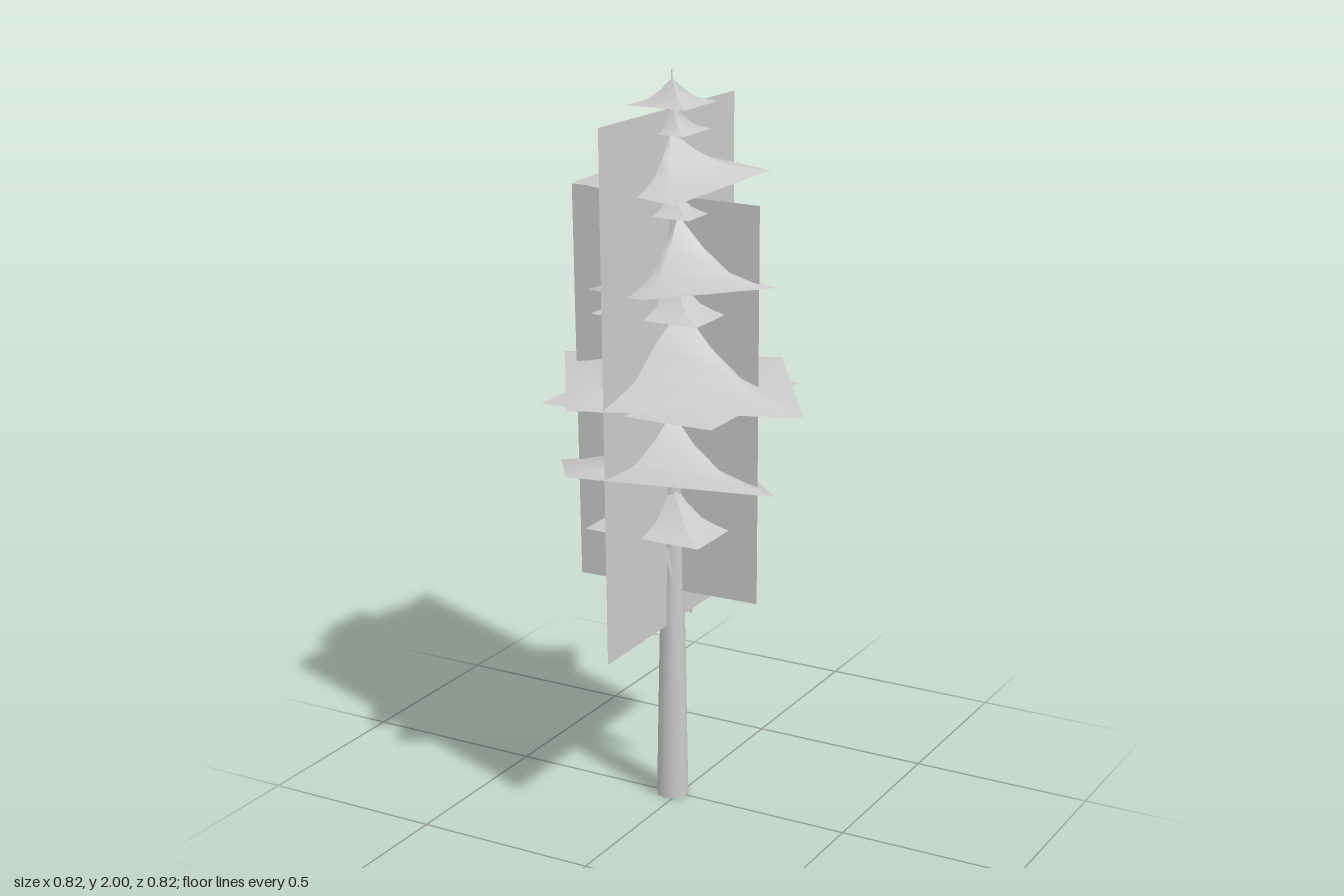
import * as THREE from 'three';

const material = new THREE.MeshStandardMaterial({ color: 0xcccccc, side: THREE.DoubleSide });
const TRUNK_X = -0.02;

// Concave four-sided canopy; (cornerX, cornerZ) is one corner measured from the centre.
function canopy({ x = TRUNK_X, z = 0, base, top, corner, tilt = [0, 0] }) {
  const [cornerX, cornerZ] = corner;
  const radius = Math.hypot(cornerX, cornerZ);
  const height = top - base;
  const profile = [[1, 0], [0.78, 0.08], [0.52, 0.21], [0.25, 0.55], [0, 1]]
    .map(([r, h]) => new THREE.Vector2(r * radius, h * height));
  const geometry = new THREE.LatheGeometry(profile, 4, Math.atan2(cornerX, cornerZ));
  const p = geometry.attributes.position;
  // Lean the layer: the skirt follows the slope, the peak moves away from the high side
  for (let i = 0; i < p.count; i++) {
    const px = p.getX(i), py = p.getY(i), pz = p.getZ(i);
    p.setXYZ(i, px - tilt[0] * py, py + tilt[0] * px + tilt[1] * pz, pz - tilt[1] * py);
  }
  geometry.computeVertexNormals();
  const mesh = new THREE.Mesh(geometry, material);
  mesh.position.set(x, base, z);
  return mesh;
}

// Flat four-cornered card
function card(name, corners) {
  const geometry = new THREE.BufferGeometry();
  geometry.setAttribute('position', new THREE.Float32BufferAttribute(corners.flat(), 3));
  geometry.setIndex([0, 1, 2, 0, 2, 3]);
  geometry.computeVertexNormals();
  const mesh = new THREE.Mesh(geometry, material);
  mesh.name = name;
  return mesh;
}

export function createModel() {
  const tree = new THREE.Group();
  tree.name = 'conifer';

  // Trunk: open tube tapering to a needle tip
  const trunkProfile = [[0.044, 0], [0.037, 0.4], [0.029, 0.75], [0.024, 1.05], [0.013, 1.6], [0.001, 2]]
    .map(([r, y]) => new THREE.Vector2(r, y));
  const trunk = new THREE.Mesh(new THREE.LatheGeometry(trunkProfile, 10), material);
  trunk.name = 'trunk';
  trunk.position.x = TRUNK_X;
  tree.add(trunk);

  // Small level canopies: base height, peak height, half width
  const small = [
    [0.795, 0.905, 0.17], [1.115, 1.165, 0.115], [1.15, 1.235, 0.25], [1.38, 1.49, 0.155],
    [1.64, 1.71, 0.105], [1.845, 1.925, 0.072], [1.915, 1.98, 0.085],
  ];
  small.forEach(([base, top, half], i) => {
    const layer = canopy({ base, top, corner: [half, half] });
    layer.name = `smallCanopy${i + 1}`;
    tree.add(layer);
  });

  // Large turned and tilted canopies
  const large = [
    { x: -0.022, z: 0.043, base: 0.928, top: 1.1, corner: [0.367, 0.077], tilt: [0.021, 0.257] },
    { x: 0, z: 0, base: 1.18, top: 1.385, corner: [0.41, 0.097], tilt: [-0.032, 0.029] },
    { x: 0.017, z: 0.018, base: 1.44, top: 1.63, corner: [0.263, -0.033], tilt: [0.11, 0.1] },
    { x: -0.026, z: -0.01, base: 1.725, top: 1.845, corner: [0.22, -0.127], tilt: [0, -0.115] },
  ];
  large.forEach((spec, i) => {
    const layer = canopy(spec);
    layer.name = `largeCanopy${i + 1}`;
    tree.add(layer);
  });

  // Crossed upright foliage cards
  tree.add(card('wideFoliageCard', [
    [-0.305, 0.597, 0], [0.235, 0.603, 0], [0.233, 1.675, 0], [-0.322, 1.68, 0],
  ]));
  tree.add(card('deepFoliageCard', [
    [TRUNK_X, 0.502, 0.343], [TRUNK_X, 0.508, -0.343], [TRUNK_X, 1.9, -0.338], [TRUNK_X, 1.907, 0.367],
  ]));

  // Small twig cards on the lower trunk
  tree.add(card('leftTwig', [
    [-0.02, 0.73, 0.02], [-0.005, 0.63, 0.02], [0.05, 0.64, 0.11], [0.02, 0.735, 0.11],
  ]));
  tree.add(card('rightTwig', [
    [-0.04, 0.8, 0.01], [-0.09, 0.7, 0.08], [-0.05, 0.61, 0.1], [-0.02, 0.72, 0.02],
  ]));
  tree.add(card('backTwig', [
    [-0.03, 0.72, -0.01], [-0.07, 0.6, -0.07], [-0.035, 0.48, -0.13], [-0.025, 0.56, -0.17],
  ]));

  return tree;
}
